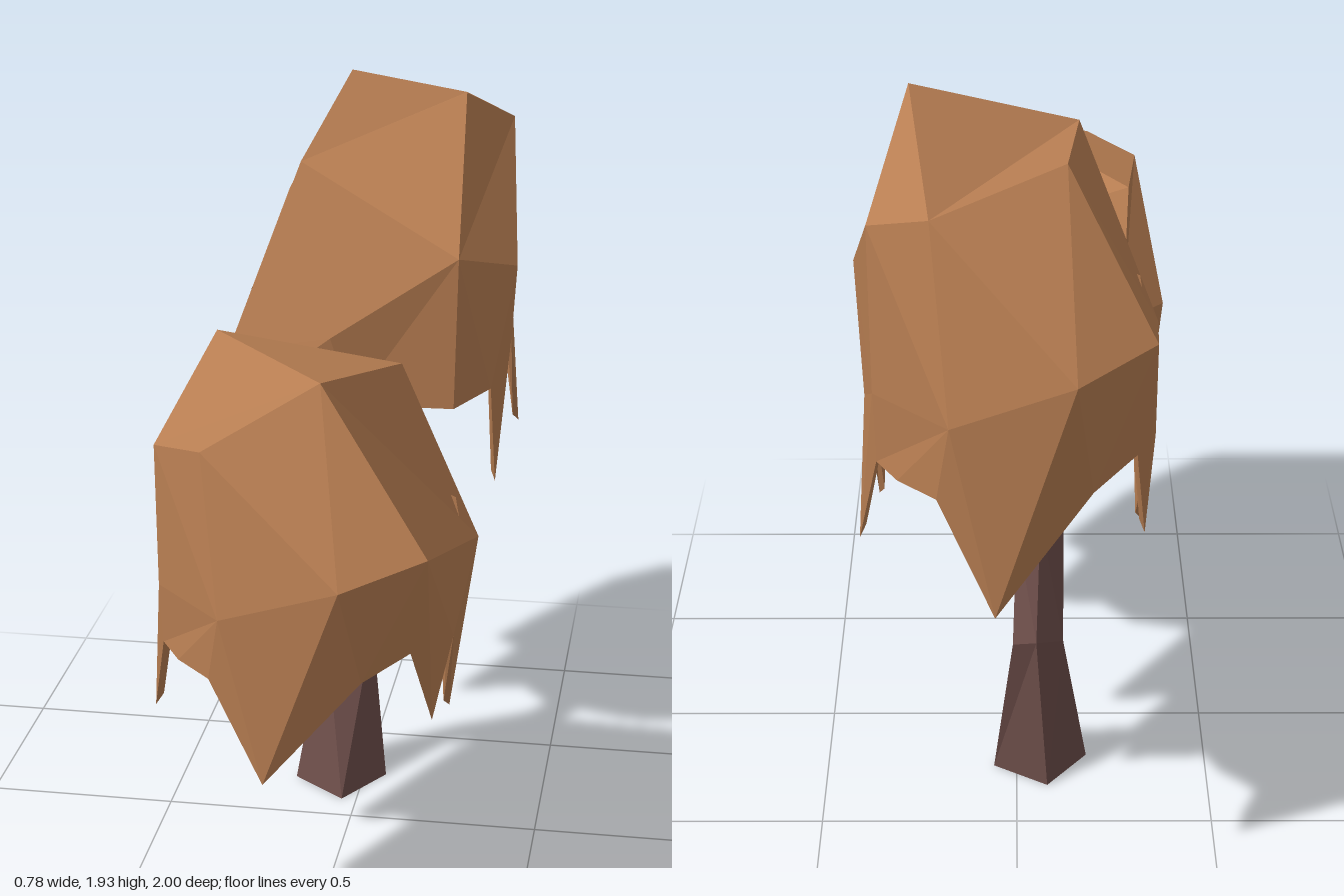
import * as THREE from 'three';

// Soup of triangles -> faceted mesh
function facetMesh(name, tris, material) {
  const g = new THREE.BufferGeometry();
  g.setAttribute('position', new THREE.Float32BufferAttribute(tris.flat(2), 3));
  g.computeVertexNormals();
  const mesh = new THREE.Mesh(g, material);
  mesh.name = name;
  return mesh;
}

// Joins two closed loops; each step advances the upper (u) or lower (l) loop
function stitch(upper, lower, steps = 'lu'.repeat(upper.length)) {
  let i = 0, j = 0;
  const tris = [];
  for (const s of steps) {
    const a = upper[i % upper.length], b = lower[j % lower.length];
    tris.push([a, b, s === 'u' ? upper[++i % upper.length] : lower[++j % lower.length]]);
  }
  return tris;
}

// Triangle fan closing a loop, started from a chosen corner
function fan(loop, start = 0) {
  const n = loop.length, at = k => loop[(start + k) % n];
  return Array.from({ length: n - 2 }, (_, k) => [at(0), at(k + 1), at(k + 2)]);
}

// Four-sided limb; each ring lists its front, right, back and left corner
function limb(name, rings, material) {
  const tris = [...fan([...rings[0]].reverse()), ...fan(rings.at(-1))];
  for (let r = 1; r < rings.length; r++) {
    tris.push(...stitch(rings[r], rings[r - 1], (r === 1 ? 'ul' : 'lu').repeat(4)));
  }
  return facetMesh(name, tris, material);
}

// Canopy loops, ordered front, +x side, back, -x side
const crown = [[-0.2, 1.37, 0.88], [0.04, 1.48, 0.69], [0.15, 1.35, 0.14], [-0.29, 1.45, 0.25], [-0.33, 1.34, 0.77]];
const belly = [
  [-0.15, 1.0, 0.96], [0.13, 1.1, 1.0], [0.31, 1.13, 0.85], [0.35, 0.91, 0.16],
  [0.05, 1.0, -0.02], [-0.27, 1.18, 0.01], [-0.39, 1.1, 0.3], [-0.325, 1.0, 0.78],
];
// Ragged hanging edge
const fringe = [
  [-0.18, 0.84, 0.93], [-0.05, 0.6, 0.97], [0.17, 0.85, 0.92], [0.27, 0.89, 0.83],
  [0.3, 0.64, 0.66], [0.33, 0.79, 0.5], [0.305, 0.53, 0.35], [0.34, 0.86, 0.18],
  [0.25, 0.85, 0.08], [0, 0.84, 0.02], [-0.26, 0.84, 0.03], [-0.34, 0.85, 0.17],
  [-0.34, 0.58, 0.33], [-0.36, 0.88, 0.5], [-0.37, 0.63, 0.66], [-0.32, 0.85, 0.77], [-0.27, 0.84, 0.84],
];
// Thickness of the hanging points, and the hollow underside
const inset = (kx, kz, lift) => fringe.map(([x, y, z]) => [x * kx, lift(y), 0.5 + (z - 0.5) * kz]);
const lining = inset(0.96, 0.86, y => y + 0.02);
const underside = inset(0.88, 0.84, () => 1.04);

function canopy(name, [top, mid, rim, inner, base], fanStart, material) {
  return facetMesh(name, [
    ...fan(top, fanStart),
    ...stitch(top, mid, 'lullulluulllu'),
    ...stitch(mid, rim, 'lululllulllulullullullull'),
    ...stitch(rim, inner),
    ...stitch(inner, base),
    ...fan([...base].reverse()),
  ], material);
}

export function createModel() {
  const foliage = new THREE.MeshStandardMaterial({ color: 0xb87e52 });
  foliage.name = 'foliage';
  foliage.flatShading = true;
  const bark = new THREE.MeshStandardMaterial({ color: 0x6c4d49 });
  bark.name = 'bark';
  bark.flatShading = true;

  const tree = new THREE.Group();
  tree.name = 'tree';

  // Bent trunk: base, knee, fork, crotch, then up into the rear canopy
  tree.add(limb('trunk', [
    [[-0.04, 0, -0.09], [0.06, 0, -0.25], [-0.08, 0, -0.34], [-0.185, 0, -0.2]],
    [[-0.1, 0.35, -0.24], [0.01, 0.42, -0.32], [-0.05, 0.43, -0.33], [-0.12, 0.4, -0.27]],
    [[-0.06, 0.64, -0.14], [0, 0.68, -0.18], [-0.06, 0.75, -0.25], [-0.12, 0.68, -0.18]],
    [[-0.05, 0.76, 0], [0, 0.77, -0.12], [-0.06, 0.8, -0.245], [-0.12, 0.77, -0.12]],
    [[-0.05, 1.07, -0.22], [0.01, 1.03, -0.27], [-0.05, 0.98, -0.31], [-0.1, 1.03, -0.27]],
    [[-0.03, 1.46, -0.47], [0.04, 1.43, -0.51], [-0.03, 1.41, -0.55], [-0.1, 1.43, -0.51]],
  ], bark));
  // Side branch reaching into the front canopy (front corner is its lower edge)
  tree.add(limb('branch', [
    [[-0.06, 0.64, -0.14], [0, 0.7, -0.09], [-0.05, 0.76, 0], [-0.12, 0.7, -0.09]],
    [[-0.06, 0.77, 0.2], [0, 0.82, 0.16], [-0.05, 0.86, 0.11], [-0.11, 0.82, 0.16]],
    [[-0.06, 1.02, 0.46], [-0.01, 1.05, 0.42], [-0.05, 1.07, 0.36], [-0.1, 1.05, 0.42]],
  ], bark));

  const loops = [crown, belly, fringe, lining, underside];
  tree.add(canopy('frontCanopy', loops, 1, foliage));

  // Rear canopy: turned half round, raised and stretched, with a shifted peak
  const rear = loops.map(loop => loop.map(([x, y, z]) => [-x, 1.18 * y + 0.185, -z]));
  rear[0][0] = [0.19, 1.81, -0.85];
  rear[0][1] = [-0.11, 1.89, -0.72];
  rear[0][3] = [0.25, 1.93, -0.31];
  tree.add(canopy('rearCanopy', rear, 0, foliage));

  return tree;
}
